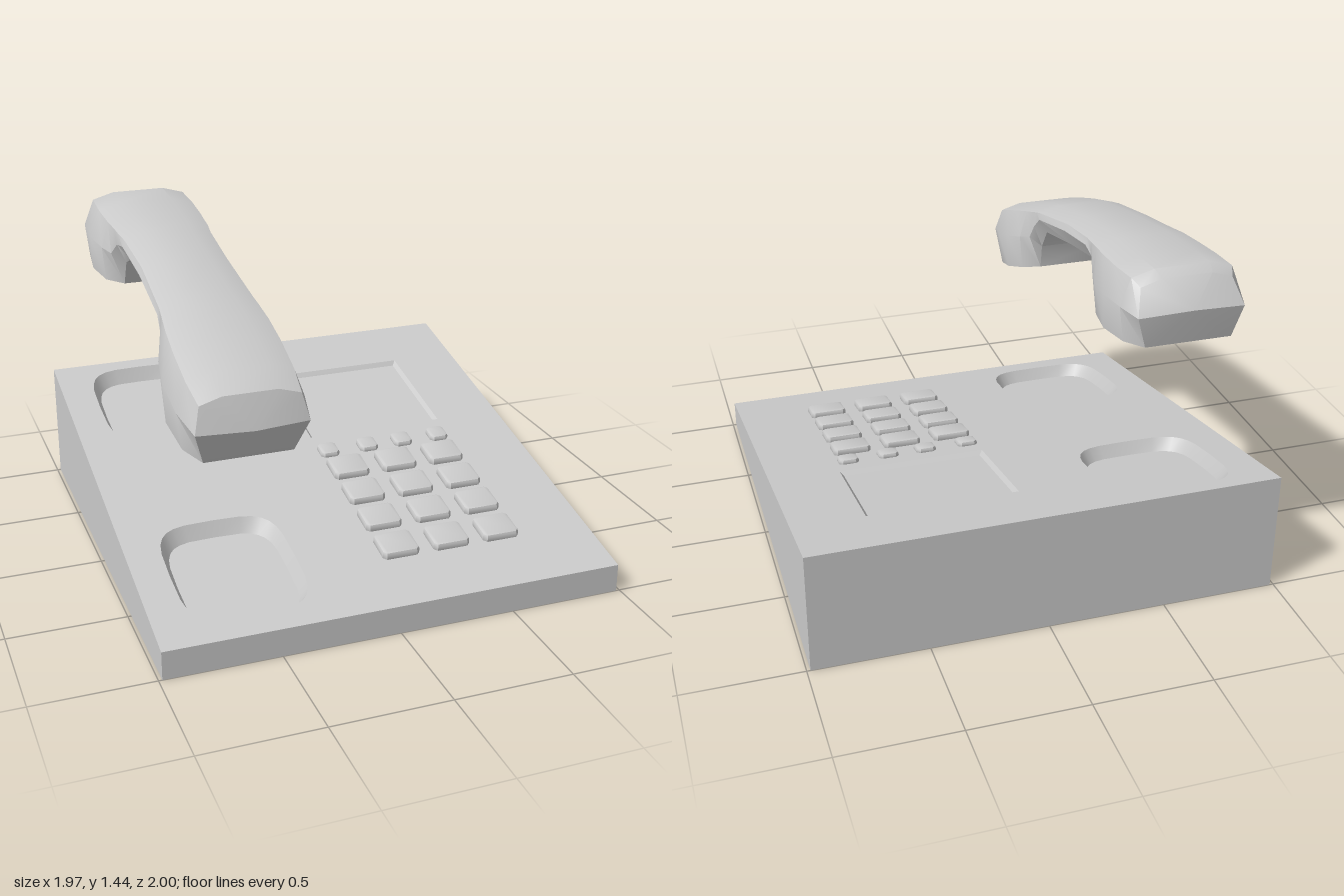
import * as THREE from 'three';
import { toCreasedNormals } from 'three/addons/utils/BufferGeometryUtils.js';

const HALF_X = 0.985;
const slopeY = (z) => 0.122 + 0.205 * (1 - z); // height of the sloping top

function createMesh(name, geometry, parent) {
  const m = new THREE.Mesh(geometry, new THREE.MeshStandardMaterial({ color: 0xcccccc }));
  m.name = name;
  parent.add(m);
  return m;
}

// Lays a shape-plane geometry (x, y = -z) down and shears it onto the slope
function layOnSlope(geometry) {
  geometry.rotateX(-Math.PI / 2);
  const p = geometry.attributes.position;
  for (let i = 0; i < p.count; i++) p.setY(i, p.getY(i) + slopeY(p.getZ(i)));
  geometry.computeVertexNormals();
  return geometry;
}

function buildGeometry(positions, index, crease) {
  const g = new THREE.BufferGeometry();
  g.setAttribute('position', new THREE.Float32BufferAttribute(positions, 3));
  g.setIndex(index);
  return toCreasedNormals(g, crease);
}

// Counter-clockwise outlines in the shape plane
function cradleOutline(cx, cz, a, b, n = 28) {
  const bend = (v) => Math.sign(v) * Math.sqrt(Math.abs(v));
  return Array.from({ length: n }, (_, i) => {
    const t = (i / n) * Math.PI * 2;
    return new THREE.Vector2(cx + a * bend(Math.cos(t)), -cz + b * bend(Math.sin(t)));
  });
}

function rectOutline(x0, x1, z0, z1, c = 0) {
  const pts = c
    ? [[x0 + c, -z1], [x1 - c, -z1], [x1, -z1 + c], [x1, -z0 - c], [x1 - c, -z0], [x0 + c, -z0], [x0, -z0 - c], [x0, -z1 + c]]
    : [[x0, -z1], [x1, -z1], [x1, -z0], [x0, -z0]];
  return pts.map(([x, y]) => new THREE.Vector2(x, y));
}

// Sunken pocket: sloping wall plus floor
function addRecess(name, outline, depth, inset, parent) {
  const group = new THREE.Group();
  group.name = name;
  parent.add(group);
  const box = new THREE.Box2().setFromPoints(outline);
  const c = box.getCenter(new THREE.Vector2());
  const s = box.getSize(new THREE.Vector2());
  const floor = outline.map((p) => new THREE.Vector2(
    c.x + (p.x - c.x) * (1 - 2 * inset / s.x), c.y + (p.y - c.y) * (1 - 2 * inset / s.y)));
  const n = outline.length, pos = [], idx = [];
  outline.forEach((p) => pos.push(p.x, p.y, 0));
  floor.forEach((p) => pos.push(p.x, p.y, -depth));
  for (let i = 0; i < n; i++) {
    const j = (i + 1) % n;
    idx.push(i, j, n + j, i, n + j, n + i);
  }
  const wall = buildGeometry(pos, idx, 0.7);
  createMesh(name + 'Wall', toCreasedNormals(layOnSlope(wall), 0.7), group);
  const floorGeo = new THREE.ShapeGeometry(new THREE.Shape(floor));
  floorGeo.translate(0, 0, -depth);
  createMesh(name + 'Floor', layOnSlope(floorGeo), group);
}

function addBase(parent) {
  const base = new THREE.Group();
  base.name = 'base';
  parent.add(base);

  // Wedge body: a box with its top face left out and top corners set to the slope
  const body = new THREE.BoxGeometry(HALF_X * 2, 1, 2);
  const p = body.attributes.position;
  for (let i = 0; i < p.count; i++) p.setY(i, p.getY(i) > 0 ? slopeY(p.getZ(i)) : 0);
  body.setIndex(Array.from(body.index.array).filter((_, i) => i < 12 || i > 17));
  body.clearGroups();
  createMesh('wedgeBody', body, base);

  // Top panel with openings for the pockets
  const pockets = [
    ['rearCradle', cradleOutline(-0.575, -0.635, 0.265, 0.3), 0.06, 0.03],
    ['frontCradle', cradleOutline(-0.575, 0.595, 0.265, 0.3), 0.06, 0.03],
    ['display', rectOutline(0.04, 0.68, -0.7, -0.17), 0.018, 0.015],
  ];
  const top = new THREE.Shape(rectOutline(-HALF_X, HALF_X, -1, 1));
  for (const [name, outline, depth, inset] of pockets) {
    top.holes.push(new THREE.Path(outline));
    addRecess(name, outline, depth, inset, base);
  }
  createMesh('topPanel', layOnSlope(new THREE.ShapeGeometry(top)), base);
}

// Key with bevelled upper edge
function addKey(name, x, z, w, d, h, parent) {
  const b = 0.012;
  const outline = rectOutline(x - w / 2 + b, x + w / 2 - b, z - d / 2 + b, z + d / 2 - b, 0.008);
  const g = new THREE.ExtrudeGeometry(new THREE.Shape(outline), {
    depth: h - b, bevelSize: b, bevelThickness: b, bevelSegments: 2,
  });
  createMesh(name, toCreasedNormals(layOnSlope(g), 0.5), parent);
}

function addKeys(parent) {
  const keys = new THREE.Group();
  keys.name = 'keypad';
  parent.add(keys);
  for (const z of [0.095, 0.28, 0.467, 0.655])
    for (const x of [0.12, 0.35, 0.58]) addKey('numberKey', x, z, 0.165, 0.135, 0.03, keys);
  for (const x of [0.08, 0.27, 0.44, 0.62]) addKey('functionKey', x, -0.05, 0.088, 0.085, 0.022, keys);
}

function addHandset(parent) {
  // Top z, y; bottom z, y; half widths at top, middle and bottom
  const stations = [
    [0.885, 1.085, 0.85, 0.805, 0.2, 0.225, 0.18],
    [0.76, 1.135, 0.76, 0.83, 0.213, 0.255, 0.235],
    [0.6, 1.193, 0.6, 0.88, 0.215, 0.262, 0.255],
    [0.47, 1.238, 0.47, 0.925, 0.21, 0.243, 0.23],
    [0.4, 1.26, 0.395, 0.952, 0.203, 0.22, 0.165],
    [0.37, 1.27, 0.38, 1.06, 0.2, 0.207, 0.165],
    [0.32, 1.283, 0.315, 1.155, 0.195, 0.202, 0.165],
    [0, 1.355, 0, 1.225, 0.183, 0.195, 0.165],
    [-0.26, 1.397, -0.27, 1.272, 0.19, 0.2, 0.165],
    [-0.34, 1.408, -0.36, 1.235, 0.2, 0.205, 0.165],
    [-0.4, 1.414, -0.415, 1.122, 0.203, 0.22, 0.165],
    [-0.49, 1.421, -0.49, 1.125, 0.21, 0.243, 0.23],
    [-0.64, 1.434, -0.64, 1.137, 0.215, 0.262, 0.255],
    [-0.79, 1.447, -0.8, 1.15, 0.21, 0.253, 0.235],
    [-0.84, 1.425, -0.89, 1.158, 0.19, 0.22, 0.18],
  ];
  const last = stations.length - 1, n = 8, pos = [], idx = [];
  stations.forEach(([zt, yt, zb, yb, wt, wm, wb], s) => {
    const bulge = s === 0 ? 0.045 : s === last ? -0.04 : 0;
    const mid = [wm, (yt + yb) / 2, (zt + zb) / 2 + bulge];
    const side = [[wt * 0.55, yt - 0.008, zt], [wt, yt - 0.035, zt], mid, [wb, yb, zb]];
    const ring = [...side, ...side.slice().reverse().map(([x, y, z]) => [-x, y, z])];
    ring.forEach((v) => pos.push(...v));
    if (s < last) for (let j = 0; j < n; j++) {
      const a = s * n + j, b = s * n + (j + 1) % n;
      idx.push(a, b, b + n, a, b + n, a + n);
    }
  });
  // Rounded end caps
  const c = pos.length / 3;
  pos.push(0, 0.945, 0.94, 0, 1.31, -0.93);
  for (let j = 0; j < n; j++) {
    const k = (j + 1) % n;
    idx.push(c, k, j, c + 1, last * n + j, last * n + k);
  }
  createMesh('handset', buildGeometry(pos, idx, 0.6), parent).position.x = -0.578;
}

export function createModel() {
  const phone = new THREE.Group();
  phone.name = 'deskTelephone';
  addBase(phone);
  addKeys(phone);
  addHandset(phone);
  return phone;
}
